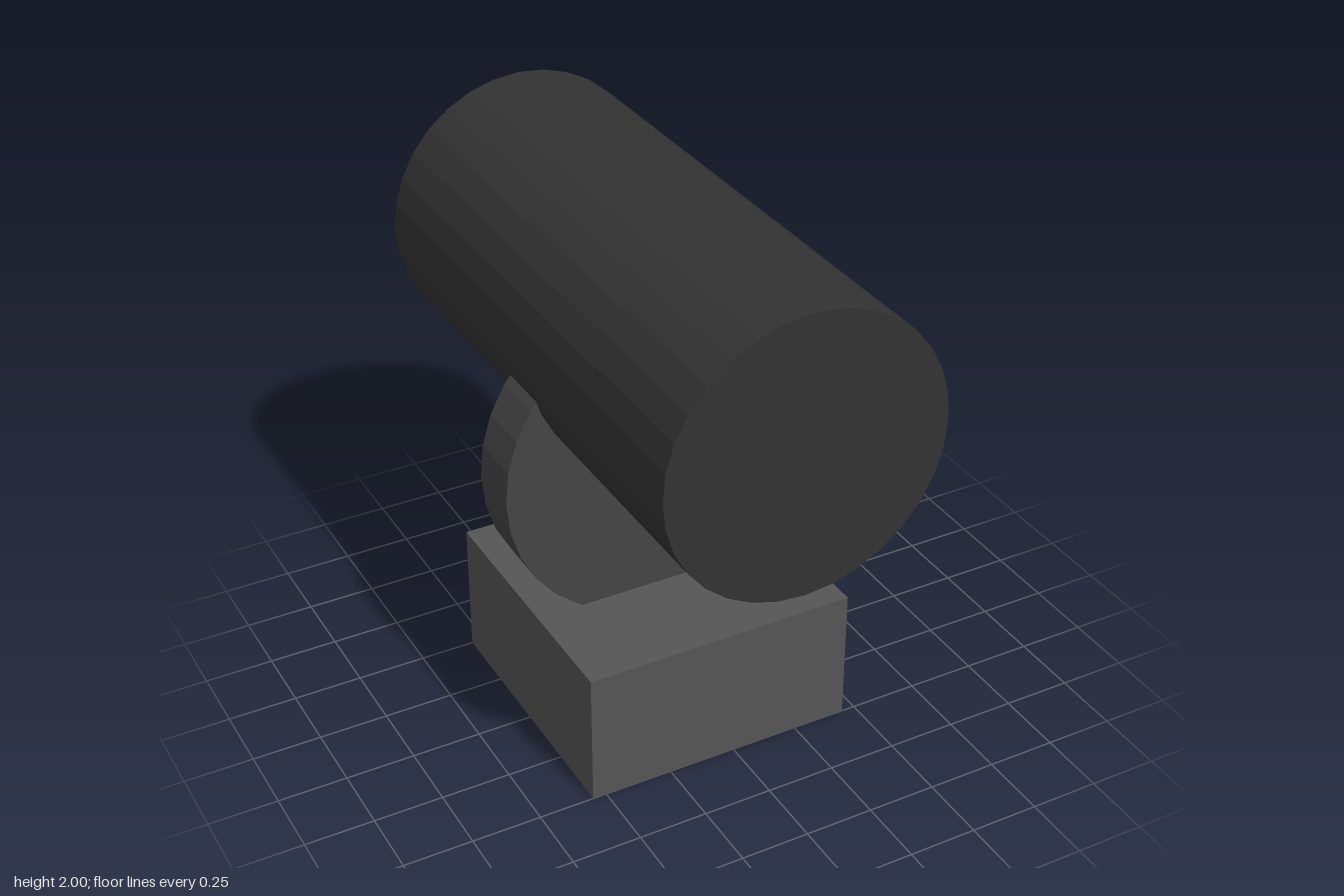
import * as THREE from 'three';

export function createModel() {
  const model = new THREE.Group();
  const centreX = -0.05;

  function addPart(name, geometry, color, x, y) {
    const material = new THREE.MeshStandardMaterial({ color, flatShading: true });
    const mesh = new THREE.Mesh(geometry, material);
    mesh.name = name;
    mesh.position.set(x, y, 0);
    model.add(mesh);
  }

  // Cylinder lying along the z axis
  const roller = (radius, length, sides) =>
    new THREE.CylinderGeometry(radius, radius, length, sides).rotateX(Math.PI / 2);

  // Square block the model stands on
  addPart('base', new THREE.BoxGeometry(1, 0.5, 1), 0x555555, centreX, 0.25);

  // Upright disc joining base and barrel
  addPart('supportDisc', roller(0.6, 0.2, 32), 0x444444, centreX, 1);

  // Large closed barrel on top
  addPart('barrel', roller(0.5, 2, 32), 0x333333, centreX, 1.5);

  // Small knob on the left rim of the disc
  addPart('knob', roller(0.1, 0.2, 16), 0x666666, 0.55, 1);

  return model;
}
